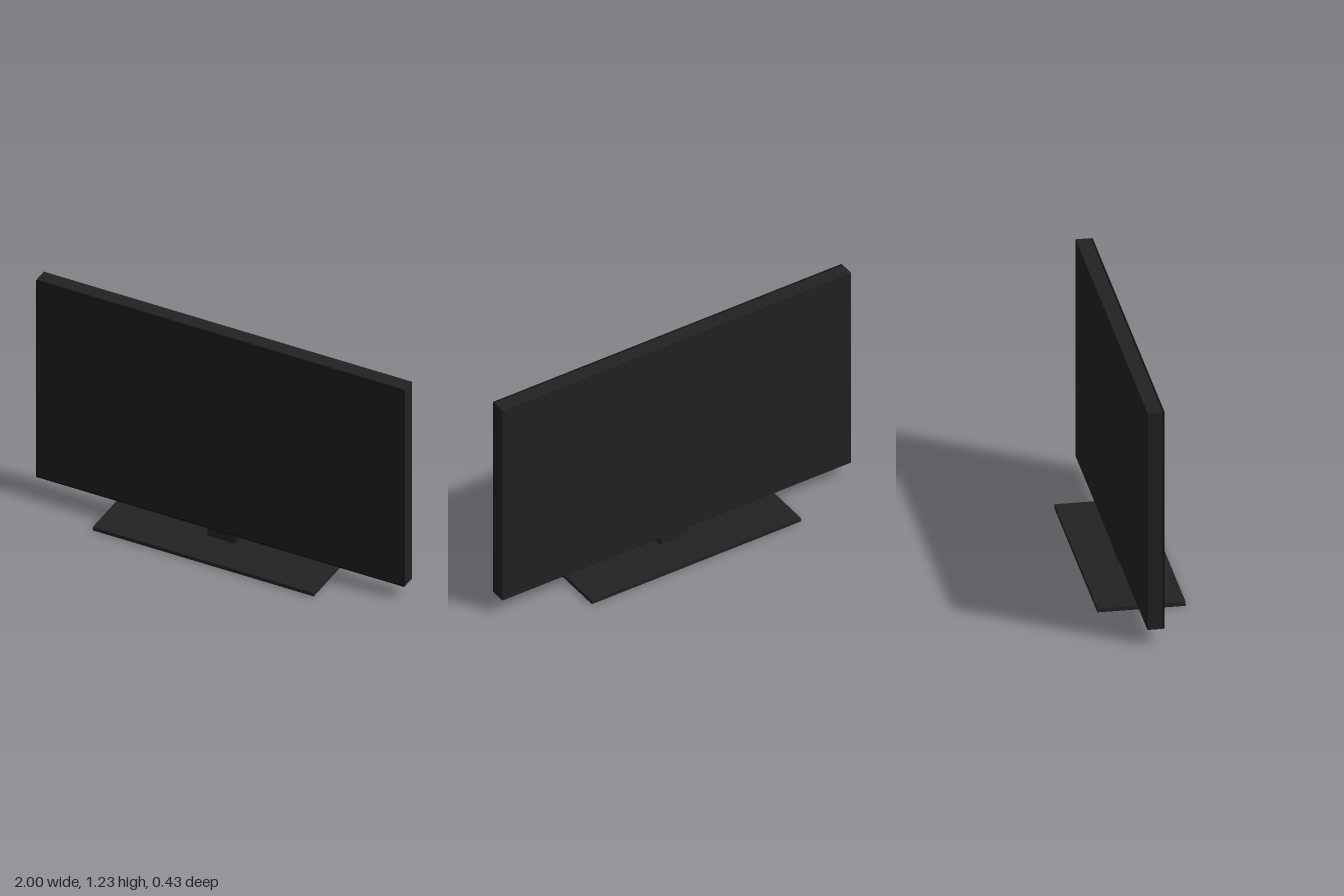
import * as THREE from 'three';
import { RoundedBoxGeometry } from 'three/addons/geometries/RoundedBoxGeometry.js';

const material = (name, color) => {
  const m = new THREE.MeshStandardMaterial({ color });
  m.name = name;
  return m;
};

export function createModel() {
  const casing = material('black casing', 0x222222);
  const glass = material('dark screen', 0x1e1e1e);
  const edge = material('dark edge', 0x161416);

  const tv = new THREE.Group();
  tv.name = 'television';
  const add = (name, geometry, mat, x, y, z) => {
    const mesh = new THREE.Mesh(geometry, mat);
    mesh.name = name;
    mesh.position.set(x, y, z);
    tv.add(mesh);
  };

  const bottom = 0.077, top = 1.23;
  const height = top - bottom, midY = (top + bottom) / 2;

  // Housing, shadow groove and front frame
  add('housing', new RoundedBoxGeometry(2, height, 0.075, 2, 0.003), casing, 0, midY, -0.0045);
  add('groove', new THREE.BoxGeometry(1.992, height - 0.008, 0.006), edge, 0, midY, 0.0345);
  add('frontFrame', new RoundedBoxGeometry(2, height, 0.007, 2, 0.003), edge, 0, midY, 0.039);

  // Screen glass, almost edge to edge
  add('screen', new THREE.BoxGeometry(1.986, height - 0.018, 0.002), glass, 0, midY + 0.002, 0.042);

  // Stand: short neck on a wide flat plate
  add('neck', new RoundedBoxGeometry(0.166, 0.085, 0.05, 4, 0.015), casing, 0, 0.05, 0);
  add('basePlate', new RoundedBoxGeometry(1.2, 0.022, 0.432, 2, 0.003), casing, 0, 0.011, 0);

  return tv;
}
